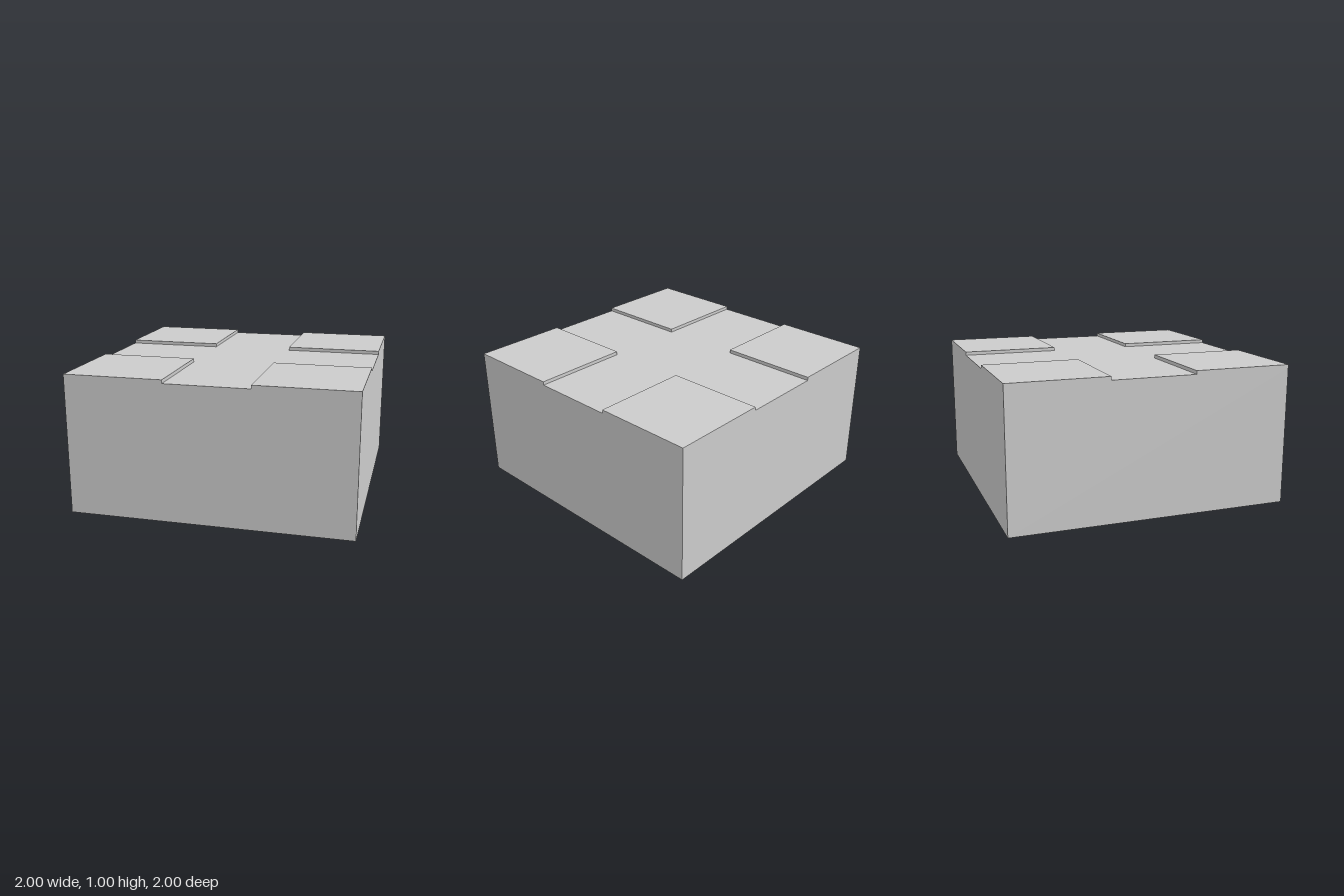
import * as THREE from 'three';

const SIZE = 2;        // width and depth of the tile
const TOP = 1;         // height of the raised corners
const GROOVE = 0.025;  // depth of the crossing channels
const HALF_GAP = 0.3;  // half the channel width

export function createModel() {
  const group = new THREE.Group();
  group.name = 'crossroadTile';
  const material = new THREE.MeshStandardMaterial({ color: 0xcccccc, flatShading: true });

  const addBox = (name, w, h, d, x, y, z) => {
    const mesh = new THREE.Mesh(new THREE.BoxGeometry(w, h, d), material);
    mesh.name = name;
    mesh.position.set(x, y, z);
    group.add(mesh);
  };

  // Solid base whose top is the floor of the channels
  const baseHeight = TOP - GROOVE;
  addBox('base', SIZE, baseHeight, SIZE, 0, baseHeight / 2, 0);

  // Four raised corner slabs leave a cross-shaped channel between them
  const slab = SIZE / 2 - HALF_GAP;
  const offset = HALF_GAP + slab / 2;
  for (const [sx, side] of [[1, 'Left'], [-1, 'Right']]) {
    for (const [sz, end] of [[1, 'front'], [-1, 'back']]) {
      addBox(`${end}${side}Slab`, slab, GROOVE, slab, sx * offset, TOP - GROOVE / 2, sz * offset);
    }
  }

  return group;
}
